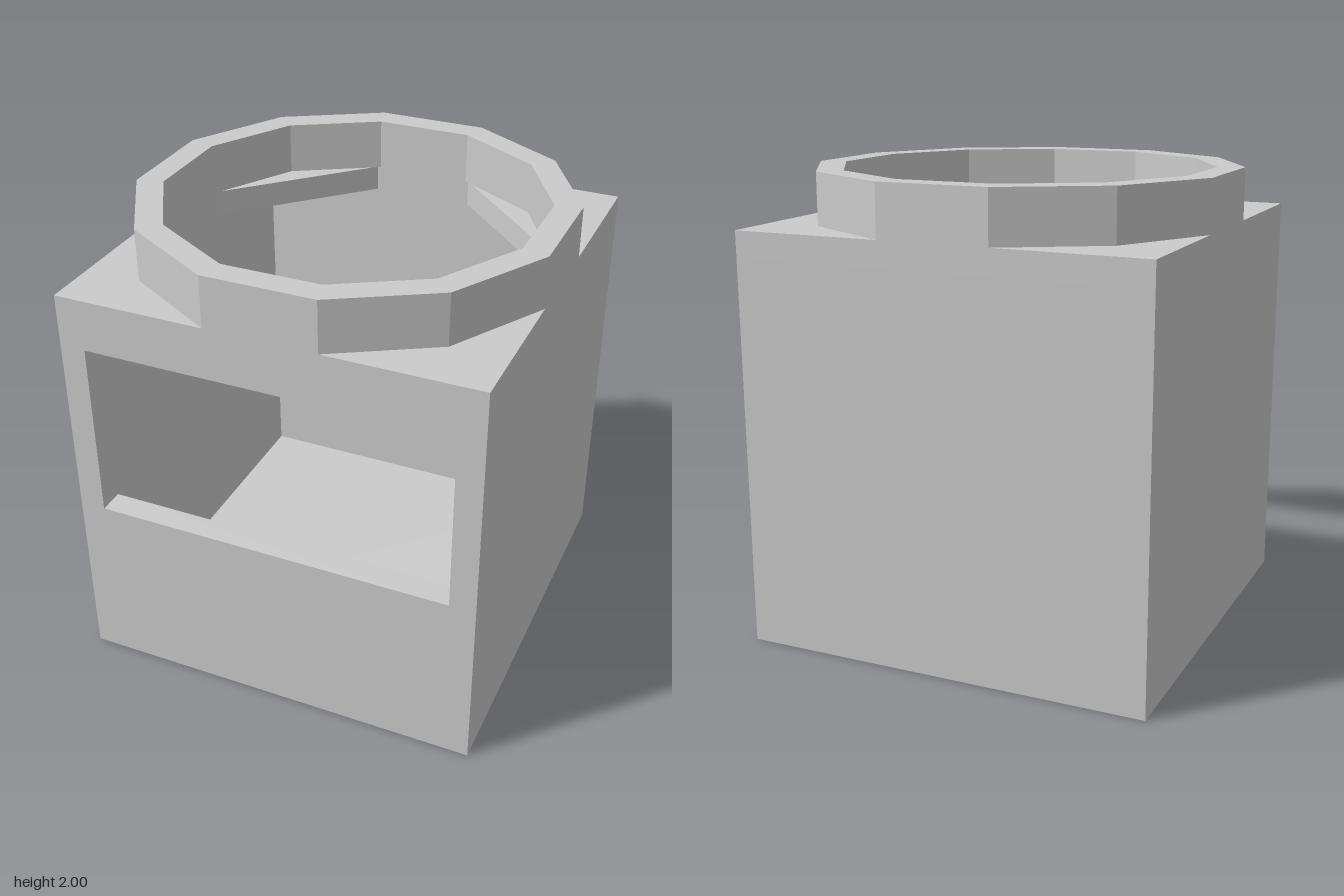
import * as THREE from 'three';

const T = 1 / 9;          // wall thickness
const H = 8 * T;          // half width of the box
const I = H - T;          // half width of the cavity
const TOP = 16 * T;       // top of the box
const FLOOR = T, CEIL = TOP - T;

const material = new THREE.MeshStandardMaterial({ color: 0xcccccc, flatShading: true });

const square = (h) => [[-h, -h], [h, -h], [h, h], [-h, h]];

// Regular 12-sided outline with flats facing the four walls
function dodecagon(apothem) {
  const r = apothem / Math.cos(Math.PI / 12);
  return Array.from({ length: 12 }, (_, i) => {
    const a = (i + 0.5) * Math.PI / 6;
    return [r * Math.cos(a), r * Math.sin(a)];
  });
}

// Outline with one opening, extruded along +z
function panel(outline, opening, depth) {
  const toPoints = (list) => list.map(([x, y]) => new THREE.Vector2(x, y));
  const shape = new THREE.Shape(toPoints(outline));
  shape.holes.push(new THREE.Path(toPoints(opening).reverse()));
  return new THREE.ExtrudeGeometry(shape, { depth, bevelEnabled: false });
}

export function createModel() {
  const group = new THREE.Group();

  function add(name, geometry, x, y, z) {
    const mesh = new THREE.Mesh(geometry, material);
    mesh.name = name;
    mesh.position.set(x, y, z);
    group.add(mesh);
  }

  const wallHeight = CEIL - FLOOR;
  const wallY = (CEIL + FLOOR) / 2;

  // Floor slab, back wall and side walls
  add('floor', new THREE.BoxGeometry(2 * H, T, 2 * H), 0, T / 2, 0);
  add('backWall', new THREE.BoxGeometry(2 * H, wallHeight, T), 0, wallY, -H + T / 2);
  for (const [name, s] of [['leftWall', 1], ['rightWall', -1]]) {
    add(name, new THREE.BoxGeometry(T, wallHeight, 2 * I), s * (H - T / 2), wallY, 0);
  }

  // Front wall with a wide window
  const front = panel(
    [[-H, FLOOR], [H, FLOOR], [H, CEIL], [-H, CEIL]],
    [[-I, 7 * T], [I, 7 * T], [I, 14 * T], [-I, 14 * T]],
    T,
  );
  add('frontWall', front, 0, 0, I);

  // Top plate: the opening leaves a triangular web in each corner
  const c = 2 * T;
  const opening = [[I, -c], [I, c], [c, I], [-c, I], [-I, c], [-I, -c], [-c, -I], [c, -I]];
  add('topPlate', panel(square(H), opening, T).rotateX(-Math.PI / 2), 0, CEIL, 0);

  // Twelve-sided collar
  add('collar', panel(dodecagon(H), dodecagon(I), 2 * T).rotateX(-Math.PI / 2), 0, TOP, 0);

  return group;
}
